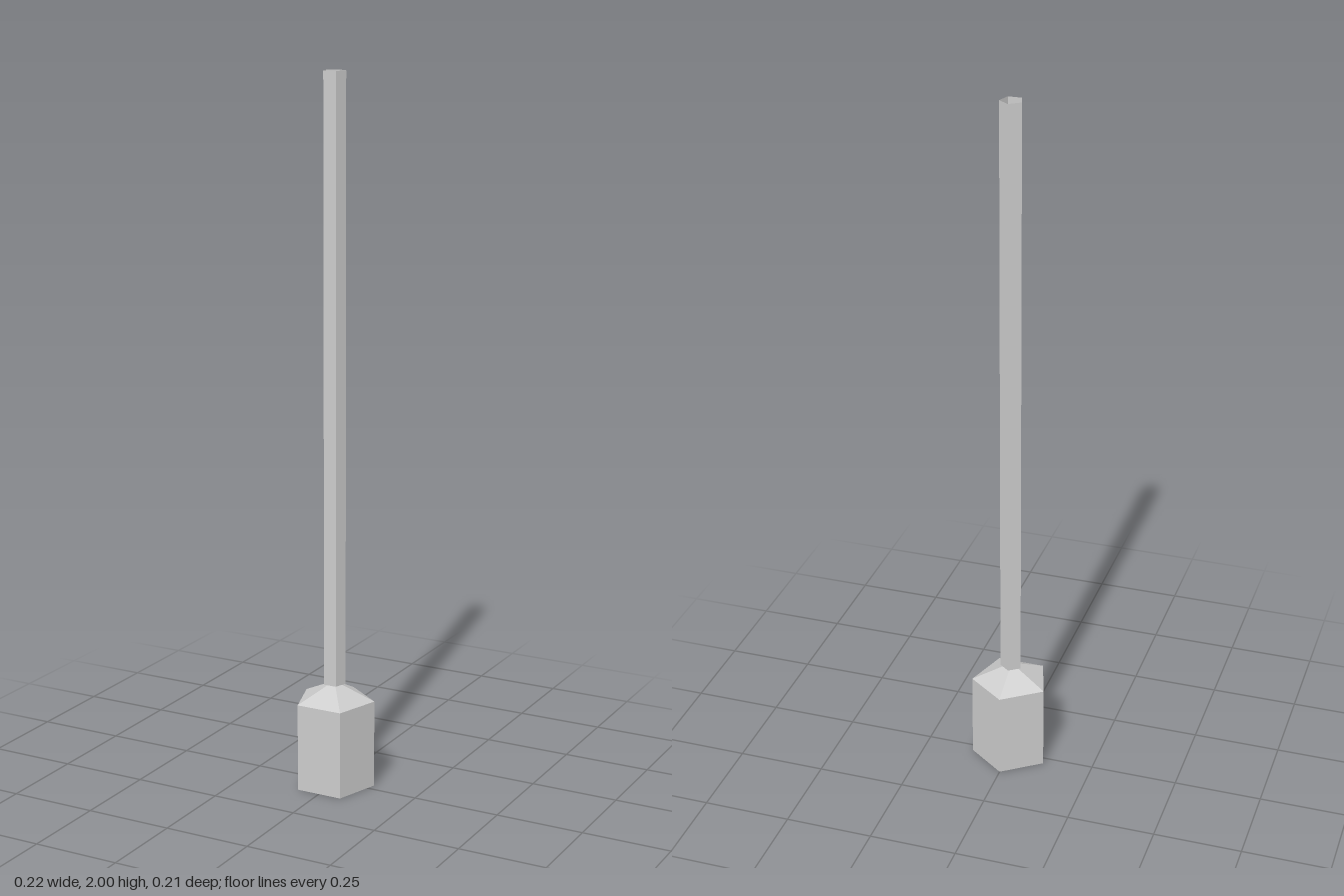
import * as THREE from 'three';

const SIDES = 5;
const AXIS_Z = 0.01; // a pentagon's axis sits slightly off its bounding-box centre

export function createModel() {
  const group = new THREE.Group();
  const material = new THREE.MeshStandardMaterial({
    color: 0xcccccc,
    flatShading: true,
    side: THREE.DoubleSide,
  });

  // Open five-sided tube or cone between two heights, one corner facing back
  function addPrism(name, topRadius, bottomRadius, y0, y1) {
    const geometry = new THREE.CylinderGeometry(topRadius, bottomRadius, y1 - y0, SIDES, 1, true);
    geometry.rotateY(Math.PI);
    const mesh = new THREE.Mesh(geometry, material);
    mesh.name = name;
    mesh.position.set(0, (y0 + y1) / 2, AXIS_Z);
    group.add(mesh);
  }

  // Wide base, open underneath
  addPrism('base', 0.114, 0.114, 0, 0.252);
  // Pointed roof of the base, its tip inside the pole
  addPrism('baseCone', 0, 0.114, 0.252, 0.307);
  // Long hollow pole, open at the top
  addPrism('pole', 0.032, 0.032, 0.3, 2);

  return group;
}
